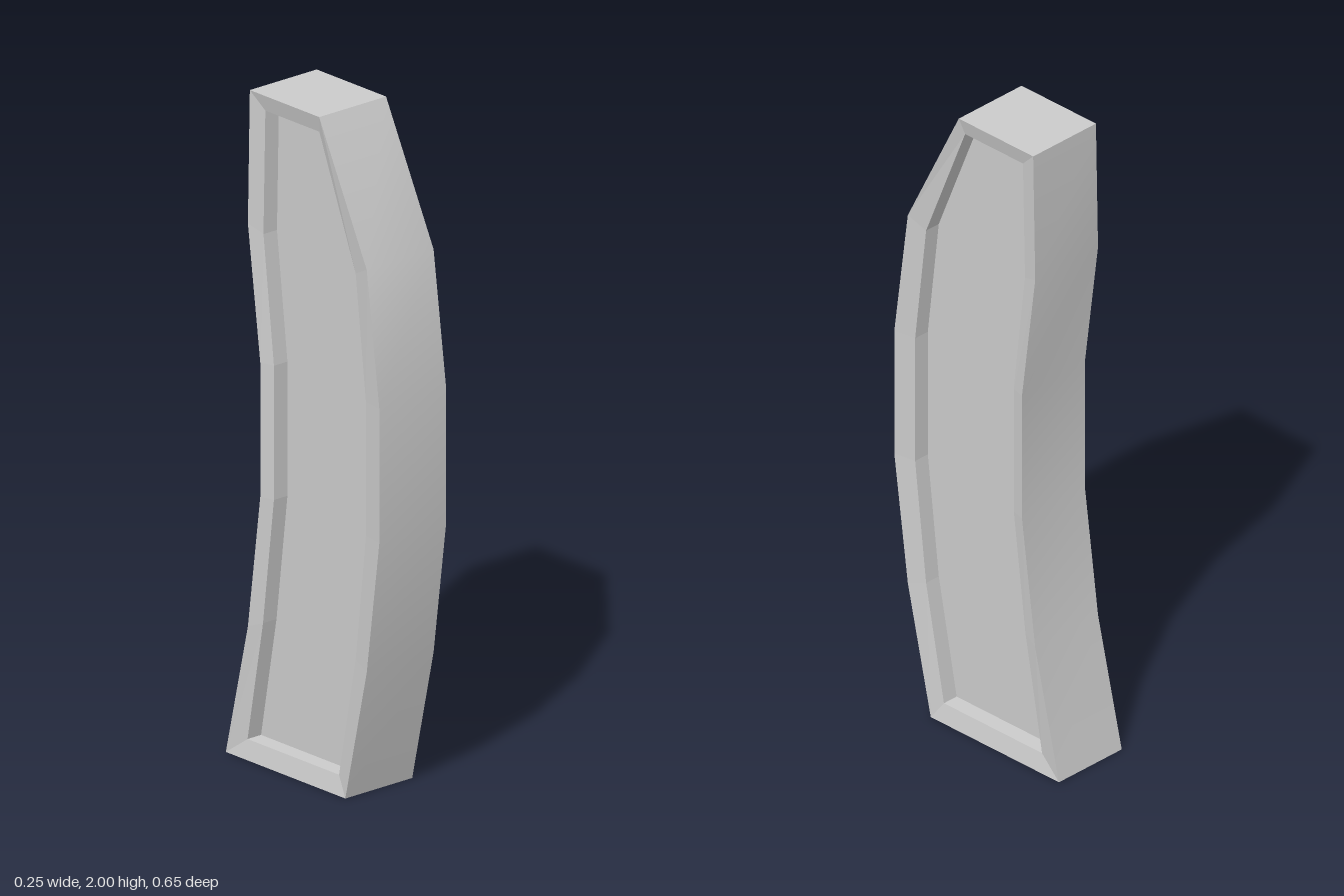
import * as THREE from 'three';
import { toCreasedNormals } from 'three/addons/utils/BufferGeometryUtils.js';

const EDGE_X = 0.125;   // outer edge of the case
const LIP_X = 0.113;    // inner edge of the gently sloping rim
const FLOOR_X = 0.0625; // sunken side panel

// Side outlines as [z, y]: up the front edge, then down the back edge
const OUTER = [
  [0.18, 0], [0.27, 0.4], [0.323, 0.8], [0.323, 1.2], [0.27, 1.6], [0.07, 2],
  [-0.222, 2], [-0.23, 1.6], [-0.178, 1.2], [-0.178, 0.8], [-0.23, 0.4], [-0.323, 0],
];
const INNER = [
  [0.14, 0.057], [0.21, 0.42], [0.253, 0.8], [0.253, 1.2], [0.21, 1.57], [0.057, 1.95],
  [-0.17, 1.95], [-0.178, 1.58], [-0.134, 1.2], [-0.134, 0.8], [-0.18, 0.42], [-0.245, 0.057],
];

// Flat-shaded band of quads joining each [outline, x] ring to the next
function bands(rings) {
  const positions = [];
  for (let r = 0; r < rings.length - 1; r++) {
    const [ringA, xA] = rings[r];
    const [ringB, xB] = rings[r + 1];
    ringA.forEach(([z, y], i) => {
      const j = (i + 1) % ringA.length;
      const a0 = [xA, y, z];
      const a1 = [xA, ringA[j][1], ringA[j][0]];
      const b0 = [xB, ringB[i][1], ringB[i][0]];
      const b1 = [xB, ringB[j][1], ringB[j][0]];
      positions.push(...a0, ...a1, ...b0, ...b0, ...a1, ...b1);
    });
  }
  const geometry = new THREE.BufferGeometry();
  geometry.setAttribute('position', new THREE.Float32BufferAttribute(positions, 3));
  geometry.computeVertexNormals();
  return geometry;
}

export function createModel() {
  const model = new THREE.Group();
  model.name = 'curvedCase';
  const material = new THREE.MeshStandardMaterial({ color: 0xcccccc });

  const add = (name, geometry) => {
    const mesh = new THREE.Mesh(geometry, material);
    mesh.name = name;
    model.add(mesh);
  };

  // Curved outer wall, smooth along its length with sharp ends
  add('outerWall', toCreasedNormals(bands([[OUTER, EDGE_X], [OUTER, -EDGE_X]]), 0.6));

  // Sloping rims with their recess walls
  add('leftRim', bands([[INNER, FLOOR_X], [INNER, LIP_X], [OUTER, EDGE_X]]));
  add('rightRim', bands([[OUTER, -EDGE_X], [INNER, -LIP_X], [INNER, -FLOOR_X]]));

  // Sunken panel on each side
  for (const side of [1, -1]) {
    const shape = new THREE.Shape(INNER.map(([z, y]) => new THREE.Vector2(-side * z, y)));
    const geometry = new THREE.ShapeGeometry(shape);
    geometry.translate(0, 0, FLOOR_X).rotateY(side * Math.PI / 2);
    add(side > 0 ? 'leftPanel' : 'rightPanel', geometry);
  }

  return model;
}
